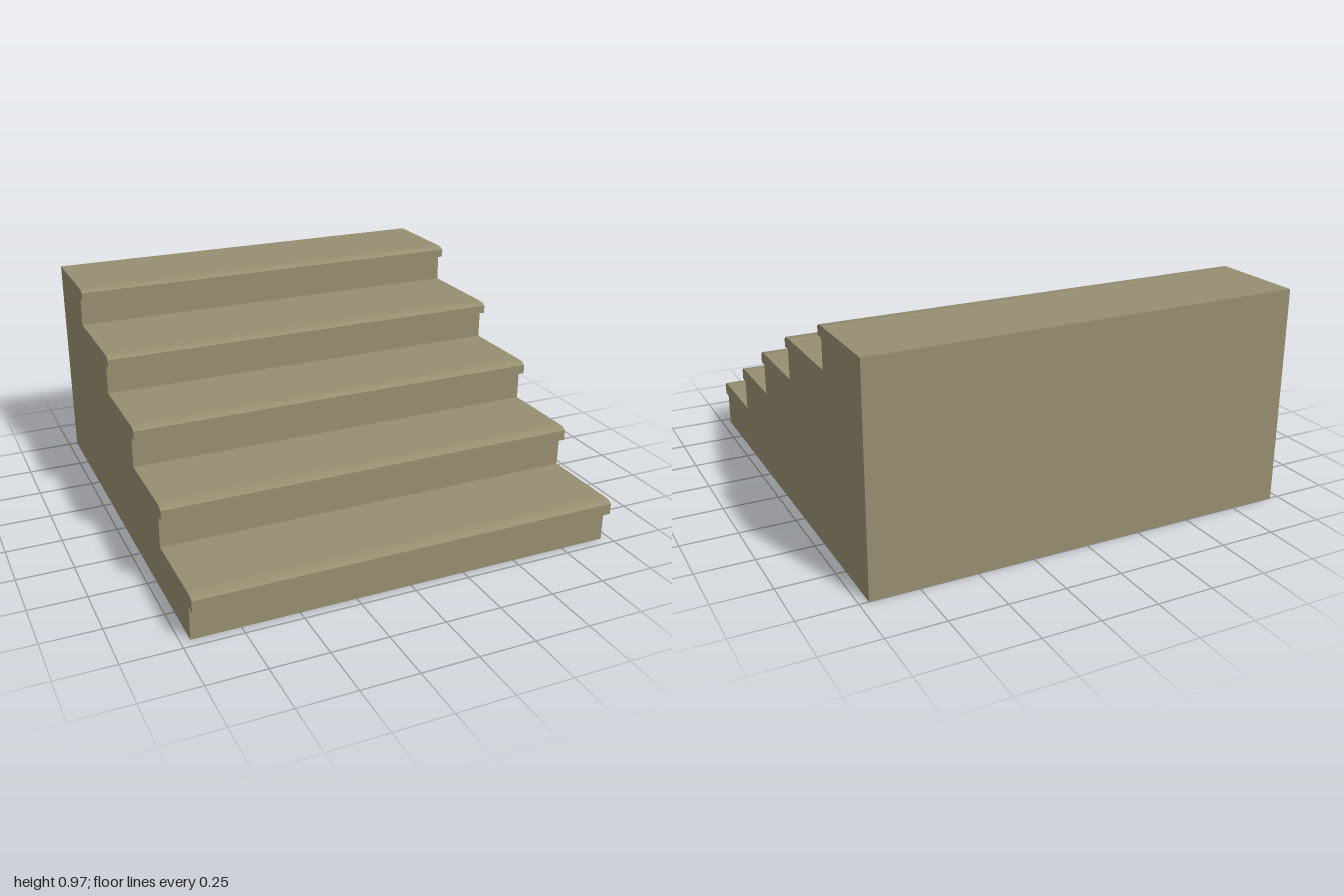
import * as THREE from 'three';
import { toCreasedNormals } from 'three/addons/utils/BufferGeometryUtils.js';

const WIDTH = 1.92;
const BACK = -1;

// Each step: nosing front z, riser z, nosing underside y, tread y
const STEPS = [
  [1.0, 0.957, 0.147, 0.21],
  [0.63, 0.59, 0.35, 0.41],
  [0.27, 0.23, 0.55, 0.605],
  [-0.11, -0.15, 0.74, 0.79],
  [-0.55, -0.59, 0.92, 0.97],
];

export function createModel() {
  const group = new THREE.Group();
  group.name = 'staircase';
  const stone = new THREE.MeshStandardMaterial({ color: 0x968e70 });
  stone.name = 'stone';

  // Side profile: x is depth (front positive), y is height
  const profile = new THREE.Shape();
  profile.moveTo(BACK, 0);
  profile.lineTo(STEPS[0][1], 0);
  STEPS.forEach(([nose, riser, under, top], i) => {
    profile.lineTo(riser, under);
    profile.lineTo(nose, under);
    // Softened top edge of the nosing
    profile.lineTo(nose, top - 0.013);
    profile.lineTo(nose - 0.02, top - 0.001);
    profile.lineTo(nose - 0.06, top);
    // Tread runs back to the next riser, or to the rear wall
    profile.lineTo(i + 1 < STEPS.length ? STEPS[i + 1][1] : BACK, top);
  });
  profile.closePath();

  // Extrude across the width and turn the profile to face +z
  let geometry = new THREE.ExtrudeGeometry(profile, { depth: WIDTH, bevelEnabled: false });
  geometry.rotateY(-Math.PI / 2);
  geometry.translate(WIDTH / 2, 0, 0);
  geometry = toCreasedNormals(geometry, 0.7);

  const flight = new THREE.Mesh(geometry, stone);
  flight.name = 'flightOfSteps';
  group.add(flight);
  return group;
}
